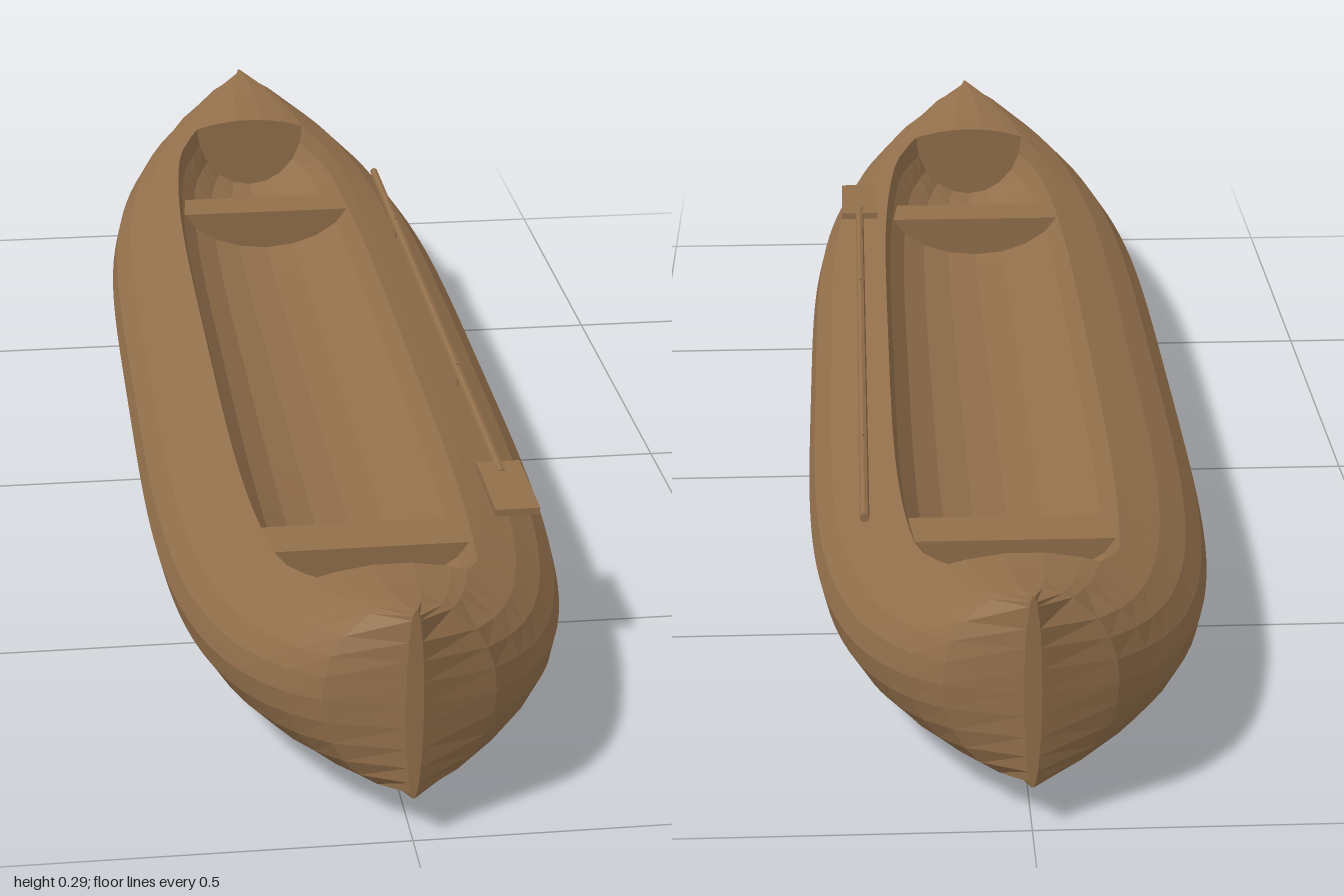
import * as THREE from 'three';

const RY = 0.119, STEP = Math.PI / 13, OPEN = 0.82;

// Hull rules: half width, centre height and rim corner along the length
const halfWidth = z => Math.max(0.01, 0.255 * Math.sqrt(Math.max(0, 1 - z ** 4)));
const centreY = z => 0.12 + 0.055 * Math.abs(z) ** 4.5;
const rimK = z => 4 + 0.52 * THREE.MathUtils.clamp((Math.abs(z) - 0.72) / (OPEN - 0.72), 0, 1) ** 2;

// Point k of the 26-sided hull section at z
const hullPoint = (z, k) => [
  halfWidth(z) * Math.cos(k * STEP), centreY(z) + RY * Math.sin(k * STEP), z];

// Hull section below the rim, and deck section above it
const sideArc = z => {
  const row = [hullPoint(z, 13 - rimK(z))];
  for (let k = 10; k <= 29; k++) row.push(hullPoint(z, k));
  row.push(hullPoint(z, 26 + rimK(z)));
  return row;
};
const deckArc = z => [rimK(z), 5, 6, 7, 8, 13 - rimK(z)].map(k => hullPoint(z, k));

// Shallow hollow of the boat, hanging from the rim
const hollowArc = z => {
  const [a, top] = hullPoint(z, rimK(z));
  const depth = top - centreY(z) - 0.008;
  const row = [];
  for (let j = 0; j <= 10; j++) {
    const t = j * Math.PI / 10;
    row.push([a * Math.cos(t), top - depth * Math.sin(t), z]);
  }
  return row;
};

// Upper edge of the hollow's end wall, in as many points as the hollow
const wallTop = z => hollowArc(z).map((p, j) =>
  hullPoint(z, THREE.MathUtils.lerp(rimK(z), 13 - rimK(z), j / 10)));

// Flat-faced skin through rows of points
function loft(rows) {
  const n = rows[0].length, index = [];
  for (let i = 0; i < rows.length - 1; i++) {
    for (let j = 0; j < n - 1; j++) {
      const a = i * n + j, b = a + n;
      index.push(a, b, a + 1, a + 1, b, b + 1);
    }
  }
  const g = new THREE.BufferGeometry();
  g.setAttribute('position', new THREE.Float32BufferAttribute(rows.flat(2), 3));
  g.setIndex(index);
  const flat = g.toNonIndexed();
  flat.computeVertexNormals();
  return flat;
}

export function createModel() {
  const group = new THREE.Group();
  const wood = new THREE.MeshStandardMaterial({
    color: 0x926f4b, side: THREE.DoubleSide, flatShading: true });
  wood.name = 'brown wood';

  const add = (name, geometry, x = 0, y = 0, z = 0) => {
    const mesh = new THREE.Mesh(geometry, wood);
    mesh.name = name;
    mesh.position.set(x, y, z);
    group.add(mesh);
  };

  // Stations from end to end, including the ends of the opening
  const stations = [-OPEN, OPEN];
  for (let i = -25; i <= 25; i++) stations.push(i / 25);
  stations.sort((a, b) => a - b);

  // Outer hull, open along the top
  add('hull', loft(stations.map(sideArc)));

  // Carved hollow
  add('hollow', loft(stations.filter(z => Math.abs(z) <= OPEN).map(hollowArc)));

  for (const s of [-1, 1]) {
    const end = s > 0 ? 'front' : 'back';
    // Closed deck, end wall of the hollow and narrow stem
    add(end + 'Deck', loft(stations.filter(z => z * s >= OPEN).map(deckArc)));
    add(end + 'Wall', loft([wallTop(s * OPEN), hollowArc(s * OPEN)]));
    const rim = [...deckArc(s), ...sideArc(s)];
    add(end + 'Stem', loft([rim, rim.map(() => [0, centreY(s), s])]));
    // Solid seat
    add(end + 'Seat', new THREE.BoxGeometry(0.256, 0.09, 0.07), 0, 0.147, s * 0.602);
  }

  // Paddle lying along the left gunwale
  const shaft = new THREE.CylinderGeometry(0.006, 0.006, 1.16, 8).rotateX(Math.PI / 2);
  add('paddleShaft', shaft, 0.182, 0.2265, -0.06);
  add('paddleBlade', new THREE.BoxGeometry(0.055, 0.009, 0.14), 0.182, 0.2255, 0.56);

  // Pegs holding the paddle
  for (const z of [0.18, -0.4]) {
    add('paddlePeg', new THREE.CylinderGeometry(0.002, 0.002, 0.045, 6), 0.182, 0.2125, z);
  }
  return group;
}
